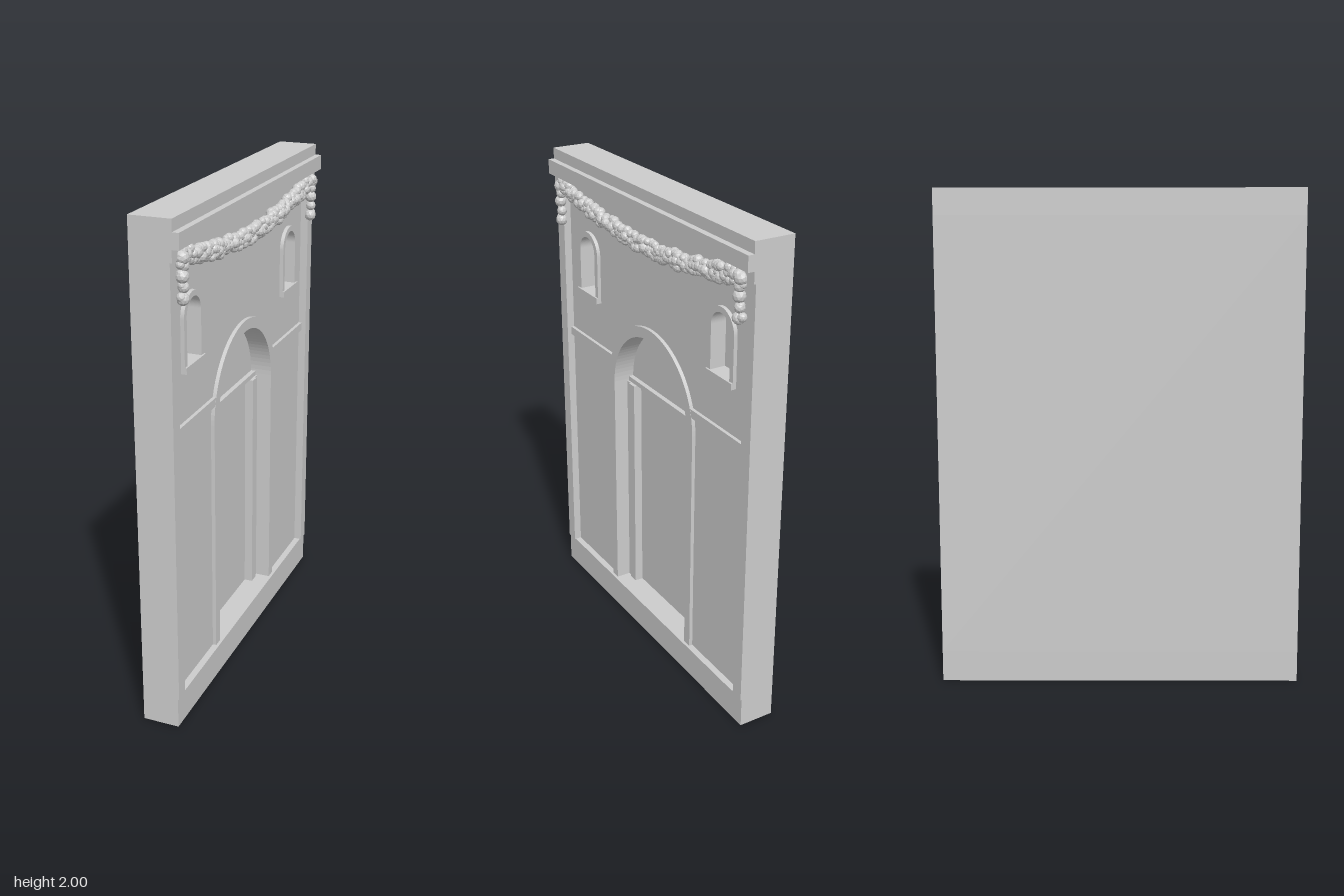
import * as THREE from 'three';
import { mergeGeometries } from 'three/addons/utils/BufferGeometryUtils.js';

const material = new THREE.MeshStandardMaterial({ color: 0xcccccc, flatShading: true });

export function createModel() {
  const group = new THREE.Group();
  group.name = 'facade';

  const add = (name, geometry) => {
    const mesh = new THREE.Mesh(geometry, material);
    mesh.name = name;
    group.add(mesh);
    return mesh;
  };

  // Box given by its limits
  const box = (name, x0, x1, y0, y1, z0, z1) => {
    const mesh = add(name, new THREE.BoxGeometry(x1 - x0, y1 - y0, z1 - z0));
    mesh.position.set((x0 + x1) / 2, (y0 + y1) / 2, (z0 + z1) / 2);
    return mesh;
  };

  // Round-headed outline: half width r, from the bottom up to the springing line
  const arch = (path, cx, r, bottom, spring) => {
    path.moveTo(cx - r, bottom);
    path.lineTo(cx + r, bottom);
    path.lineTo(cx + r, spring);
    path.absarc(cx, spring, r, 0, Math.PI, false);
    path.lineTo(cx - r, bottom);
    return path;
  };

  const extrude = (name, shape, z0, z1) => {
    const geometry = new THREE.ExtrudeGeometry(shape, { depth: z1 - z0, bevelEnabled: false, curveSegments: 24 });
    geometry.translate(0, 0, z0);
    return add(name, geometry);
  };

  const W = 0.73, BACK = -0.1, DOOR = -0.055, WALL = 0.02, TRIM = 0.035;
  const BASE = 0.125, SPRING = 1.1, WIN_X = 0.502, WIN_SPRING = 1.608;

  // Solid backing, plinth and stepped cornice
  box('backSlab', -W, W, BASE, 1.895, BACK, DOOR);
  box('plinth', -W, W, 0, BASE, BACK, 0.047);
  box('corniceShelf', -W, W, 1.895, 1.955, BACK, 0.087);
  box('corniceTop', -W, W, 1.955, 2, BACK, 0.062);

  // Front wall with doorway notch and window holes
  const wall = new THREE.Shape();
  wall.moveTo(-W, BASE);
  wall.lineTo(-0.285, BASE);
  wall.lineTo(-0.285, SPRING);
  wall.absarc(0, SPRING, 0.285, Math.PI, 0, true);
  wall.lineTo(0.285, BASE);
  wall.lineTo(W, BASE);
  wall.lineTo(W, 1.895);
  wall.lineTo(-W, 1.895);
  for (const s of [-1, 1]) wall.holes.push(arch(new THREE.Path(), s * WIN_X, 0.0625, 1.43, WIN_SPRING));
  extrude('wall', wall, DOOR, WALL);

  // Raised band around the doorway
  const band = new THREE.Shape();
  band.moveTo(-0.325, BASE);
  band.lineTo(-0.285, BASE);
  band.lineTo(-0.285, SPRING);
  band.absarc(0, SPRING, 0.285, Math.PI, 0, true);
  band.lineTo(0.285, BASE);
  band.lineTo(0.325, BASE);
  band.lineTo(0.325, SPRING + 0.005);
  band.absarc(0, SPRING + 0.005, 0.325, 0, Math.PI, false);
  extrude('doorArch', band, WALL, TRIM);
  box('doorLintel', -0.285, 0.285, 1.09, 1.11, DOOR, -0.035);

  for (const s of [-1, 1]) {
    const side = (name, a, b, ...rest) => box(name, Math.min(s * a, s * b), Math.max(s * a, s * b), ...rest);
    side('pilaster', 0.675, W, BASE, 1.85, WALL, 0.052);
    side('pilasterCap', 0.675, W, 1.85, 1.895, WALL, 0.06);
    side('stringCourse', 0.3, 0.675, 1.18, 1.215, WALL, TRIM - 0.001);
    side('doorJamb', 0.217, 0.26, BASE, 1.09, DOOR, -0.02);
    side('doorJambStep', 0.26, 0.285, BASE, 1.09, DOOR, -0.027);

    // Window: pane, surround and sill
    const cx = s * WIN_X;
    box('windowPane', cx - 0.07, cx + 0.07, 1.42, 1.68, DOOR, -0.03);
    const frame = arch(new THREE.Shape(), cx, 0.085, 1.43, WIN_SPRING);
    frame.holes.push(arch(new THREE.Path(), cx, 0.0625, 1.43, WIN_SPRING));
    extrude('windowSurround', frame, WALL, TRIM);
    box('windowSill', cx - 0.085, cx + 0.085, 1.405, 1.43, WALL, 0.042);
  }

  // Garland: a sagging rope of faceted blooms with two hanging ends
  let seed = 7;
  const random = () => (seed = (seed * 16807) % 2147483647) / 2147483647;
  const blooms = [];
  const bloom = (x, y, z, r) => {
    const geometry = new THREE.IcosahedronGeometry(r, 1);
    geometry.rotateX(random() * 3).rotateY(random() * 3);
    geometry.translate(x, y, z);
    blooms.push(geometry);
  };
  const count = 76;
  for (let i = 0; i <= count; i++) {
    const t = (i / count) * 2 - 1;
    const y = 1.785 + 0.075 * t * t;
    for (const offset of [-0.018, 0, 0.018]) {
      const r = 0.014 + random() * 0.008;
      bloom(t * 0.65 + (random() - 0.5) * 0.02, y + offset + (random() - 0.5) * 0.012,
        0.058 + random() * 0.016 - Math.abs(offset) * 0.3, r);
    }
  }
  for (const s of [-1, 1]) {
    for (const [y, r] of [[1.855, 0.026], [1.825, 0.022], [1.79, 0.025], [1.75, 0.021], [1.71, 0.024]]) {
      bloom(s * (0.662 + (random() - 0.5) * 0.012), y, 0.068, r);
      bloom(s * (0.668 + (random() - 0.5) * 0.02), y + 0.008, 0.066, r * 0.75);
    }
  }
  add('garland', mergeGeometries(blooms));

  // The decorated side looks toward +x
  group.rotation.y = Math.PI / 2;
  const model = new THREE.Group();
  model.name = 'wallPanel';
  model.add(group);
  return model;
}
